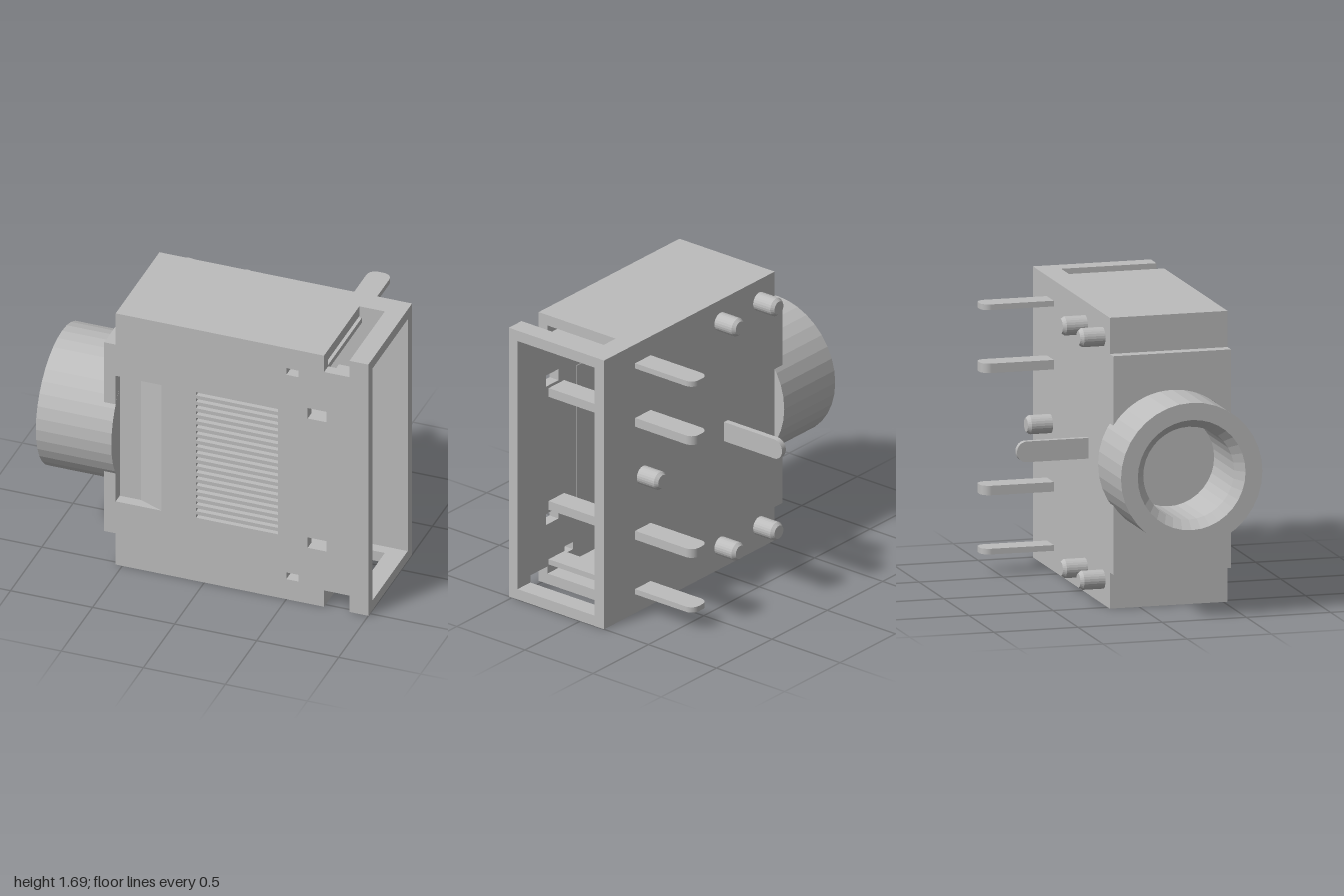
import * as THREE from 'three';

export function createModel() {
  const group = new THREE.Group();
  const grey = new THREE.MeshStandardMaterial({ color: 0xbcbcbc });
  const H = 1.69, MID = H / 2, BACK = -0.175, FRONT = 0.525, WALL = 0.065;

  const add = (name, geometry, parent = group) => {
    const mesh = new THREE.Mesh(geometry, grey);
    mesh.name = name;
    parent.add(mesh);
    return mesh;
  };
  // Box given by its limits
  const box = (name, x0, x1, y0, y1, z0, z1) => {
    const g = new THREE.BoxGeometry(x1 - x0, y1 - y0, z1 - z0);
    g.translate((x0 + x1) / 2, (y0 + y1) / 2, (z0 + z1) / 2);
    return add(name, g);
  };
  const polygon = pts => new THREE.Shape(pts.map(p => new THREE.Vector2(...p)));
  const extrude = (shape, depth) =>
    new THREE.ExtrudeGeometry(shape, { depth, bevelEnabled: false, curveSegments: 10 });
  const flat = g => {
    const f = g.toNonIndexed();
    f.computeVertexNormals();
    return f;
  };

  // Front wall with edge notches, windows and fine grooves
  const front = polygon([
    [-0.54, 0], [0.73, 0], [0.73, 0.11], [0.885, 0.11], [0.885, 0], [1, 0],
    [1, H], [0.885, H], [0.885, H - 0.11], [0.73, H - 0.11], [0.73, H], [-0.54, H],
    [-0.54, 1.27], [-0.26, 1.27], [-0.26, 0.425], [-0.54, 0.425],
  ]);
  const cut = (x0, x1, y0, y1) =>
    front.holes.push(new THREE.Path([[x0, y0], [x0, y1], [x1, y1], [x1, y0]].map(p => new THREE.Vector2(...p))));
  cut(0.5, 0.575, 1.51, 1.555);
  cut(0.63, 0.745, 1.245, 1.315);
  cut(0.5, 0.575, H - 1.555, H - 1.51);
  cut(0.63, 0.745, H - 1.315, H - 1.245);
  for (let i = 0; i < 20; i++) {
    const y = 0.425 + i * 0.0433;
    cut(-0.05, 0.45, y, y + 0.022);
  }
  add('frontWall', extrude(front, WALL)).position.z = FRONT - WALL;
  box('grooveFloor', -0.07, 0.47, 0.41, 1.28, 0.455, 0.495);

  // Recess beside the barrel, with a sloped side
  box('recessFloor', -0.54, -0.26, 0.425, 1.27, 0.445, 0.46);
  const ramp = extrude(polygon([[-0.41, -0.46], [-0.26, -0.525], [-0.26, -0.46]]), 0.845);
  ramp.rotateX(-Math.PI / 2); // profile (x, -z) becomes horizontal, depth goes up
  ramp.scale(1, 1, 1);
  add('recessRamp', ramp).position.y = 0.425;

  // Back and inner end walls; the +x end stays open
  box('backWall', -0.54, 1, 0, H, BACK, -0.105);
  box('endWall', -0.54, -0.47, WALL, H - WALL, -0.105, 0.46);

  // Top and bottom walls with a cut-out near the open end
  const lid = polygon([
    [-0.54, -0.46], [0.73, -0.46], [0.73, 0.04], [0.885, 0.04],
    [0.885, -0.46], [1, -0.46], [1, 0.105], [-0.54, 0.105],
  ]);
  for (const [name, y] of [['bottomWall', 0], ['topWall', H - WALL]]) {
    const g = extrude(lid, WALL);
    g.rotateX(-Math.PI / 2);
    add(name, g).position.y = y;
  }

  // Collar halves that hug the barrel
  const R = 0.42, a = Math.acos(0.35 / R);
  const half = new THREE.Shape();
  half.moveTo(-0.35, 0.635);
  half.lineTo(-0.35, R * Math.sin(a));
  half.absarc(0, 0, R, Math.PI - a, a, true);
  half.lineTo(0.35, 0.635);
  half.closePath();
  for (const turn of [0, Math.PI]) {
    const g = extrude(half, 0.07);
    g.rotateY(Math.PI / 2);
    g.rotateX(turn);
    add('collar', g).position.set(-0.61, MID, 0.175);
  }

  // Socket barrel with chamfered bore
  const barrel = new THREE.LatheGeometry(
    [[R, 0.54], [R, 1], [0.32, 1], [0.27, 0.94], [0.27, 0.54], [R, 0.54]]
      .map(p => new THREE.Vector2(...p)), 36);
  barrel.rotateZ(Math.PI / 2);
  add('barrel', flat(barrel)).position.set(0, MID, 0.175);

  // Contact pins: flat strips running through the cavity and out the back
  const pin = (width, thick, r) => {
    const s = new THREE.Shape(), w = width / 2, len = 1.06;
    s.moveTo(-w, 0);
    s.lineTo(w, 0);
    s.lineTo(w, len - r);
    s.absarc(w - r, len - r, r, 0, Math.PI / 2, false);
    s.absarc(-w + r, len - r, r, Math.PI / 2, Math.PI, false);
    s.closePath();
    const g = extrude(s, thick);
    g.translate(0, 0, -thick / 2);
    g.rotateX(-Math.PI / 2);
    return g;
  };
  for (const side of [-1, 1]) {
    add('outerPin', pin(0.14, 0.033, 0.055)).position.set(0.65, MID + side * 0.71, 0.46);
    add('innerPin', pin(0.14, 0.055, 0.055)).position.set(0.65, MID + side * 0.355, 0.46);
  }
  const blade = pin(0.12, 0.035, 0.058);
  blade.rotateZ(Math.PI / 2);
  add('bladePin', blade).position.set(-0.1, 0.85, 0.46);

  // Chamfered locating posts on the back
  const posts = [[0.65, MID]];
  for (const x of [-0.4, -0.05]) posts.push([x, MID - 0.7], [x, MID + 0.71]);
  for (const [x, y] of posts) {
    const g = new THREE.LatheGeometry(
      [[0.055, 0], [0.055, 0.125], [0.04, 0.145], [0, 0.145]].map(p => new THREE.Vector2(...p)), 24);
    g.rotateX(-Math.PI / 2);
    add('locatingPost', flat(g)).position.set(x, y, BACK);
  }
  return group;
}
